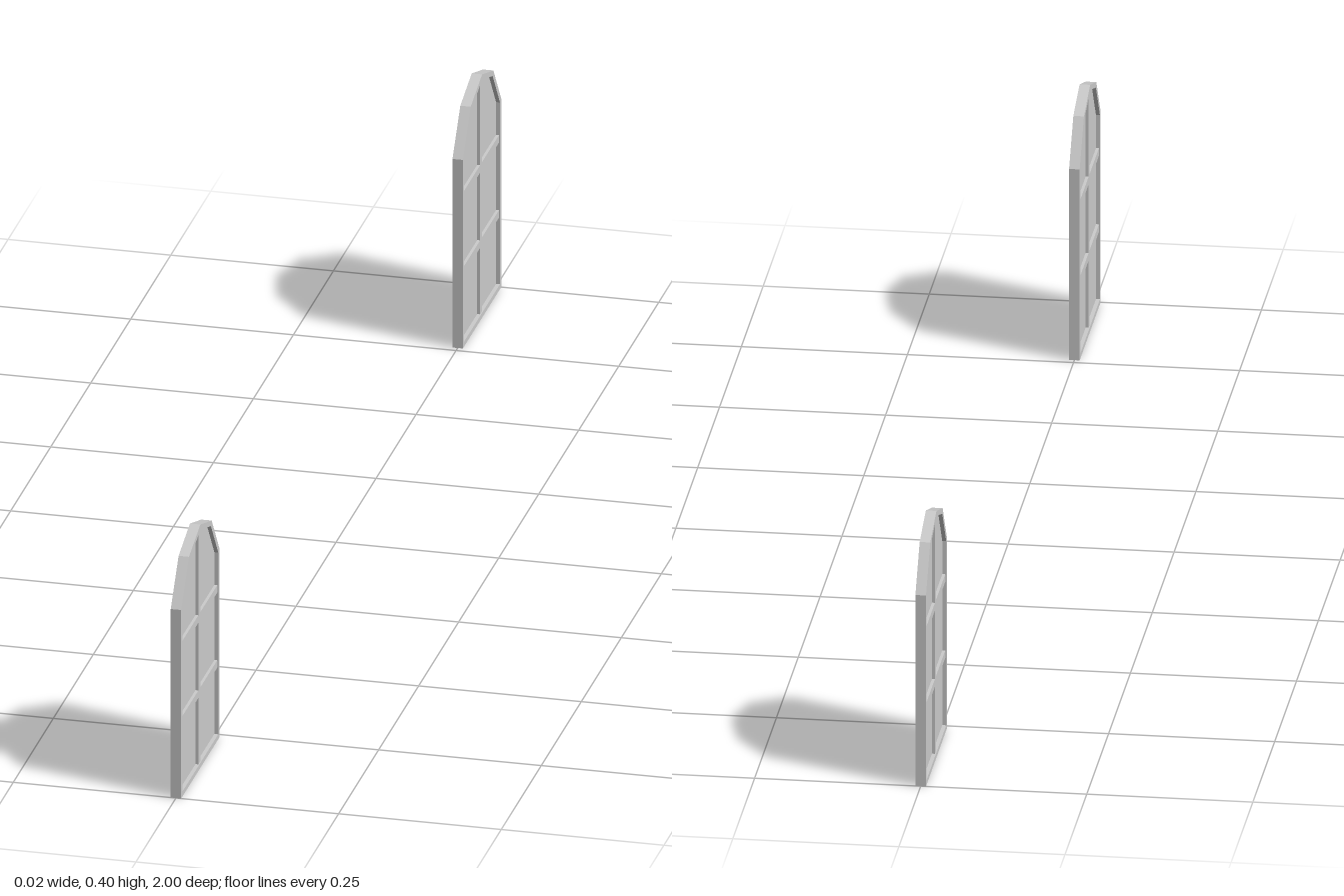
import * as THREE from 'three';

const material = new THREE.MeshStandardMaterial({ color: 0xcccccc, flatShading: true });

// Right half of the arched outlines, bottom to apex: [across, up]
const OUTER = [[0.12, 0], [0.12, 0.306], [0.071, 0.372], [0, 0.395]];
const INNER = [[0.112, 0.008], [0.112, 0.303], [0.066, 0.365], [0, 0.387]];

// Mirrors a half outline into a closed loop of points
function archPoints(half) {
  const left = half.slice(0, -1).reverse().map(([a, y]) => [-a, y]);
  return [...half, ...left].map(([a, y]) => new THREE.Vector2(a, y));
}

// Extrudes a shape and turns it so that its thickness lies along x
function slab(name, shape, depth) {
  const geometry = new THREE.ExtrudeGeometry(shape, { depth, bevelEnabled: false });
  geometry.translate(0, 0, -depth / 2).rotateY(Math.PI / 2);
  const mesh = new THREE.Mesh(geometry, material);
  mesh.name = name;
  return mesh;
}

function bar(name, height, width, y) {
  const mesh = new THREE.Mesh(new THREE.BoxGeometry(0.013, height, width), material);
  mesh.name = name;
  mesh.position.y = y;
  return mesh;
}

function createWindow(name) {
  const group = new THREE.Group();
  group.name = name;

  // Arched border with an open centre
  const border = new THREE.Shape(archPoints(OUTER));
  border.holes.push(new THREE.Path(archPoints(INNER)));
  group.add(slab('frame', border, 0.016));

  // Recessed glass filling the border
  group.add(slab('pane', new THREE.Shape(archPoints(INNER)), 0.004));

  // Glazing bars: one upright, two crosswise
  group.add(bar('mullion', 0.381, 0.012, 0.1965));
  for (const y of [0.122, 0.244]) group.add(bar('crossBar', 0.012, 0.226, y));
  return group;
}

export function createModel() {
  const model = new THREE.Group();
  model.name = 'archedWindows';
  for (const side of [1, -1]) {
    const pane = createWindow(side > 0 ? 'frontWindow' : 'backWindow');
    pane.position.z = side * 0.88;
    model.add(pane);
  }
  return model;
}
